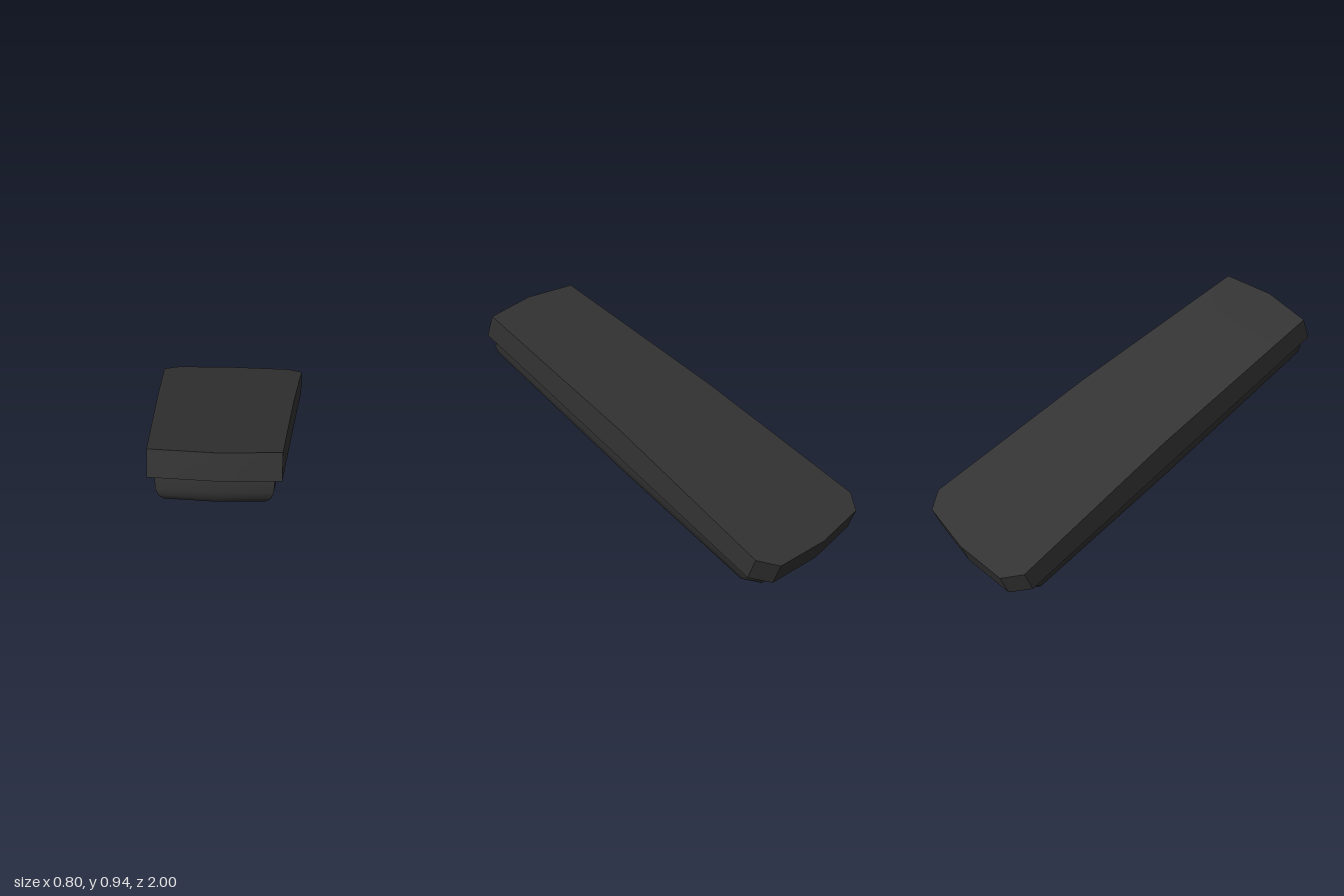
import * as THREE from 'three';
import { toCreasedNormals } from 'three/addons/utils/BufferGeometryUtils.js';

const material = new THREE.MeshStandardMaterial({ color: 0x333333 });

// Half outline (x, z) from front centre to back centre, mirrored into a closed loop
function mirrorOutline(half) {
  const left = half.slice(1, -1).reverse().map(([x, z]) => [-x, z]);
  return [...half, ...left];
}

// Skins rings from bottom to top and closes both ends with cross strips
function loft(name, rings, crease) {
  const n = rings[0].length;
  const positions = [];
  const quad = (a, b, c, d) => positions.push(...a, ...b, ...c, ...a, ...c, ...d);
  for (let j = 0; j < rings.length - 1; j++) {
    for (let i = 0; i < n; i++) {
      const k = (i + 1) % n;
      quad(rings[j][i], rings[j][k], rings[j + 1][k], rings[j + 1][i]);
    }
  }
  const cap = (ring, up) => {
    const tri = (a, b, c) => positions.push(...(up ? [...a, ...b, ...c] : [...a, ...c, ...b]));
    for (let i = 0; i < n / 2; i++) {
      const a = ring[i], b = ring[i + 1], c = ring[n - i - 1], d = ring[(n - i) % n];
      if (i + 1 < n / 2) tri(a, b, c);
      else tri(a, b, d);
      if (i > 0 && i + 1 < n / 2) tri(a, c, d);
    }
  };
  cap(rings[0], false);
  cap(rings[rings.length - 1], true);
  const geometry = new THREE.BufferGeometry();
  geometry.setAttribute('position', new THREE.Float32BufferAttribute(positions, 3));
  const mesh = new THREE.Mesh(toCreasedNormals(geometry, crease), material);
  mesh.name = name;
  return mesh;
}

// Height that peaks at the middle bend and falls off to each end
const bent = (z, front, middle, back) =>
  z > 0.03 ? middle + (front - middle) * (z - 0.03) / 1.03
    : middle + (back - middle) * (0.03 - z) / 1.04;

export function createModel() {
  const group = new THREE.Group();
  group.name = 'taperedCover';
  const body = new THREE.Group();
  body.name = 'tiltedBody';
  body.rotation.x = -0.358;
  body.position.y = 0.446;
  group.add(body);

  // Upper plate: tapered, pointed ends, slightly bent top
  const plate = mirrorOutline([
    [0, 1.068], [0.295, 1.035], [0.348, 0.03], [0.4, -0.905], [0.32, -0.998], [0, -1.025],
  ]);
  body.add(loft('topPlate', [
    plate.map(([x, z]) => [x, 0, z]),
    plate.map(([x, z]) => [x, bent(z, 0.127, 0.146, 0.118), z]),
  ], 0.4));

  // Lower tub: inset outline with a rounded bottom edge
  const tub = mirrorOutline([
    [0, 1.028], [0.264, 1.0], [0.31, 0.02], [0.356, -0.87], [0.285, -0.95], [0, -0.97],
  ]);
  const profile = [ // inset, share of the depth
    [0.11, 1], [0.075, 0.99], [0.045, 0.92], [0.02, 0.76], [0.005, 0.5], [0, 0],
  ];
  body.add(loft('lowerTub', profile.map(([inset, depth]) =>
    tub.map(([x, z]) => [
      x * (1 - inset / 0.31),
      -depth * bent(z, 0.125, 0.15, 0.136),
      z * (1 - inset),
    ])), 1.0));

  return group;
}
